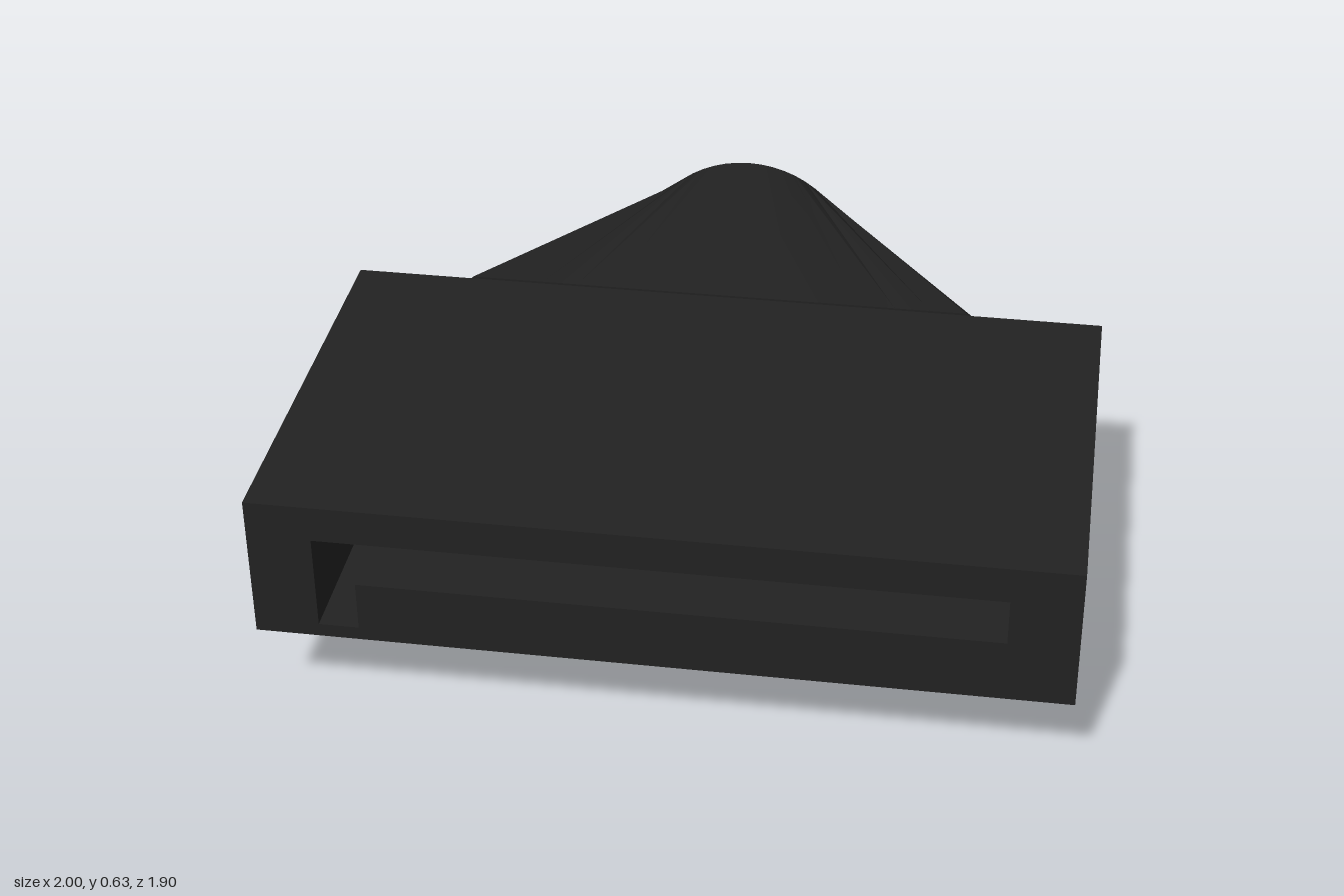
import * as THREE from 'three';
import { toCreasedNormals } from 'three/addons/utils/BufferGeometryUtils.js';

const SEG = 14; // steps along each of the four sides of the strain relief

// Four-sided outlines, running clockwise as seen from the front
function roundSection(cx, cy, r, corners, z) {
  const pts = [];
  for (let k = 0; k < 4; k++) {
    for (let i = 0; i < SEG; i++) {
      const a = THREE.MathUtils.degToRad(THREE.MathUtils.lerp(corners[k], corners[k + 1], i / SEG));
      pts.push(new THREE.Vector3(cx + r * Math.cos(a), cy + r * Math.sin(a), z));
    }
  }
  return pts;
}

function flatSection(x0, x1, y0, y1, bulges, z) {
  const corners = [[x0, y1], [x1, y1], [x1, y0], [x0, y0], [x0, y1]];
  const pts = [];
  for (let k = 0; k < 4; k++) {
    const [ax, ay] = corners[k], [bx, by] = corners[k + 1];
    for (let i = 0; i < SEG; i++) {
      const t = i / SEG;
      let x = THREE.MathUtils.lerp(ax, bx, t), y = THREE.MathUtils.lerp(ay, by, t);
      if (bulges[k]) {
        // circular arc of the given height over the straight side
        const h = (y1 - y0) / 2, s = Math.abs(bulges[k]);
        const r = (h * h + s * s) / (2 * s);
        const a = Math.asin(h / r) * (2 * t - 1);
        x = ax + Math.sign(bulges[k]) * (r * Math.cos(a) - (r - s));
        y = (y0 + y1) / 2 + Math.sign(by - ay) * r * Math.sin(a);
      }
      pts.push(new THREE.Vector3(x, y, z));
    }
  }
  return pts;
}

// Skin between two outlines, closed at both ends
function loft(front, back) {
  const centre = (ring) => ring.reduce((c, p) => c.add(p), new THREE.Vector3()).divideScalar(ring.length);
  const cf = centre(front), cb = centre(back), tris = [];
  front.forEach((p, i) => {
    const j = (i + 1) % front.length;
    tris.push(p, front[j], back[i], front[j], back[j], back[i]);
    tris.push(cb, back[i], back[j], cf, front[j], p);
  });
  return toCreasedNormals(new THREE.BufferGeometry().setFromPoints(tris), 0.5);
}

export function createModel() {
  const group = new THREE.Group();
  const black = new THREE.MeshStandardMaterial({ color: 0x222222 });

  const add = (name, geometry, x = 0, y = 0, z = 0) => {
    const mesh = new THREE.Mesh(geometry, black);
    mesh.name = name;
    mesh.position.set(x, y, z);
    group.add(mesh);
  };
  const outline = (pts) => pts.map(([x, y]) => new THREE.Vector2(x, y));

  // Housing front with the L-shaped socket
  const bottom = 0.255, top = 0.635, frontZ = 0.95, rearZ = -0.165, depth = 0.75;
  const face = new THREE.Shape(outline([[-1, bottom], [1, bottom], [1, top], [-1, top]]));
  face.holes.push(new THREE.Path(outline([
    [-0.84, 0.29], [-0.84, 0.54], [0.83, 0.54], [0.83, 0.42], [-0.74, 0.42], [-0.74, 0.29],
  ])));
  add('socketHousing', new THREE.ExtrudeGeometry(face, { depth, bevelEnabled: false }), 0, 0, frontZ - depth);

  // Solid rear of the housing, closing the socket
  const rearDepth = frontZ - depth - rearZ;
  add('housingRear', new THREE.BoxGeometry(2, top - bottom, rearDepth), 0, (top + bottom) / 2, rearZ + rearDepth / 2);

  // Collar between housing and cable strain relief
  add('collar', new THREE.BoxGeometry(1.63, 0.26, 0.09), 0, 0.445, -0.21);

  // Strain relief, from a flat rounded outline to a round cable end
  add('strainRelief', loft(
    flatSection(-0.71, 0.64, 0.285, 0.587, [0, 0.095, 0, -0.07], -0.255),
    roundSection(-0.045, 0.3125, 0.3125, [135, 45, -46, -148, -225], -0.95),
  ));

  return group;
}
